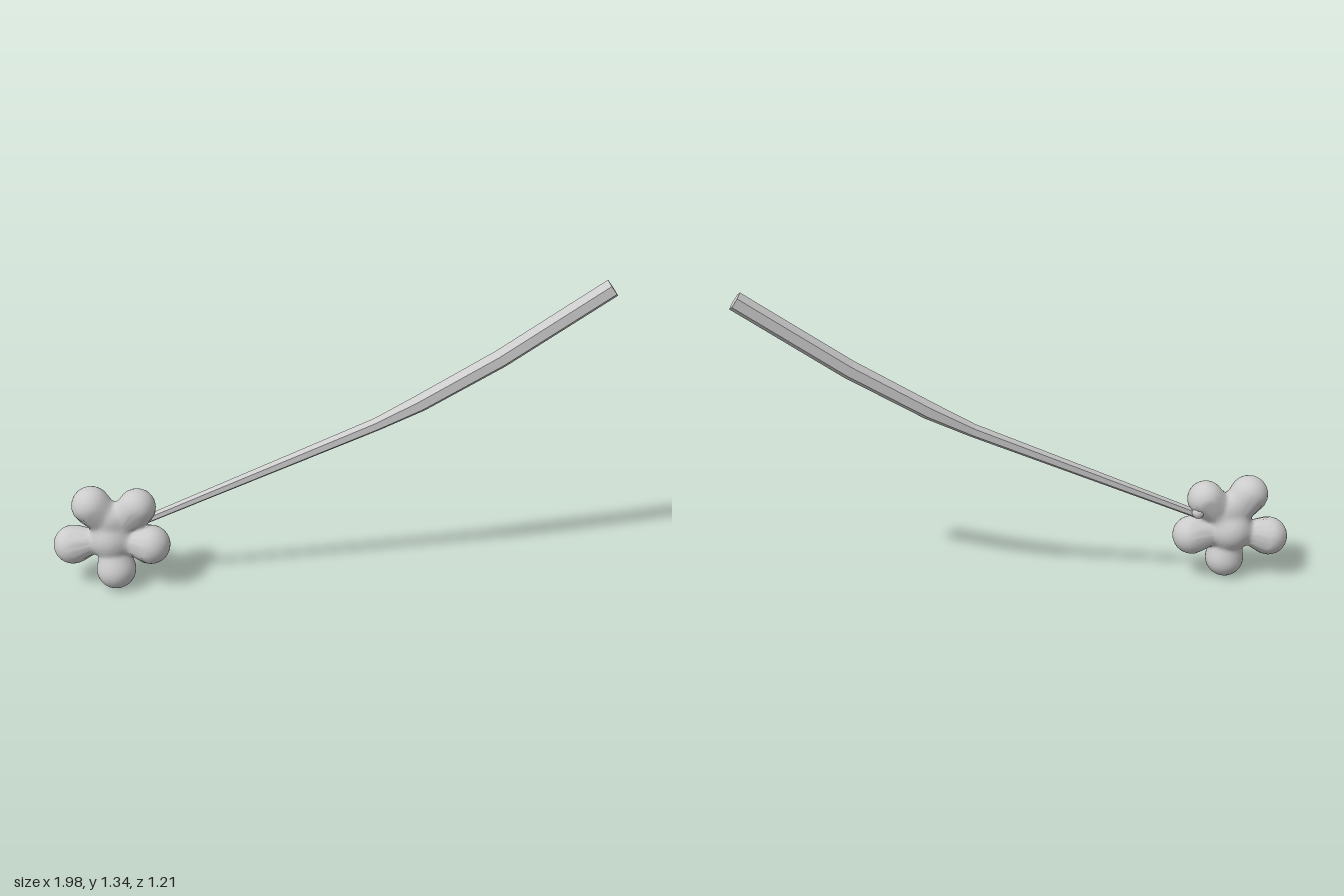
import * as THREE from 'three';
import { mergeVertices } from 'three/addons/utils/BufferGeometryUtils.js';

const V = (x, y, z) => new THREE.Vector3(x, y, z);

// Distance to a rounded cone running from a to b
function coneDistance(p, a, b, ra, rb) {
  const ab = b.clone().sub(a);
  const t = THREE.MathUtils.clamp(p.clone().sub(a).dot(ab) / ab.lengthSq(), 0, 1);
  return p.distanceTo(a.clone().addScaledVector(ab, t)) - (ra + (rb - ra) * t);
}

// Soft blossom: a core and five rounded petals melted into one skin
function makeBlossom(material) {
  const core = V(-0.775, 0.225, -0.435);
  const petals = [
    [V(-0.845, 0.38, -0.465), 0.079],
    [V(-0.68, 0.372, -0.372), 0.076],
    [V(-0.642, 0.205, -0.335), 0.08],
    [V(-0.772, 0.09, -0.408), 0.08],
    [V(-0.912, 0.19, -0.525), 0.08],
  ];
  const blend = 0.012;
  const field = (p) => {
    let sum = Math.exp(-(p.distanceTo(core) - 0.082) / blend);
    for (const [tip, r] of petals) {
      sum += Math.exp(-(p.distanceTo(tip) - r) / blend);
      sum += Math.exp(-coneDistance(p, core, tip, 0.045, 0.05) / blend);
    }
    // web between the two upper petals
    sum += Math.exp(-(p.distanceTo(V(-0.772, 0.325, -0.425)) - 0.06) / blend);
    return -blend * Math.log(sum);
  };

  let geometry = new THREE.IcosahedronGeometry(1, 16);
  geometry.deleteAttribute('normal');
  geometry.deleteAttribute('uv');
  geometry = mergeVertices(geometry, 1e-4);
  const pos = geometry.attributes.position;
  const dir = V(0, 0, 0), p = V(0, 0, 0);
  for (let i = 0; i < pos.count; i++) {
    dir.fromBufferAttribute(pos, i).normalize();
    // step inwards until the skin is reached
    let r = 0.36;
    for (let k = 0; k < 80; k++) {
      const d = field(p.copy(core).addScaledVector(dir, r));
      if (d < 0.0005) break;
      r -= d;
    }
    p.copy(core).addScaledVector(dir, r);
    pos.setXYZ(i, p.x, p.y, p.z);
  }
  geometry.computeVertexNormals();
  const blossom = new THREE.Mesh(geometry, material);
  blossom.name = 'blossom';
  return blossom;
}

// Six-sided stem, thicker towards its cut end, with a gentle bend
function makeStem(material) {
  const rings = [
    [V(-0.65, 0.305, -0.37), 0.018],
    [V(0.18, 0.742, 0.111), 0.028],
    [V(0.33, 0.835, 0.198), 0.037],
    [V(0.6, 1.025, 0.354), 0.039],
    [V(0.965, 1.32, 0.565), 0.039],
  ];
  const last = rings.length - 1;
  const geometry = new THREE.CylinderGeometry(1, 1, 1, 6, last);
  const pos = geometry.attributes.position;
  const side = V(0.5, 0, -0.866);
  for (let i = 0; i < pos.count; i++) {
    const row = Math.round((pos.getY(i) + 0.5) * last);
    const [centre, radius] = rings[row];
    const along = rings[Math.min(row + 1, last)][0].clone()
      .sub(rings[Math.max(row - 1, 0)][0]).normalize();
    const u = side.clone().addScaledVector(along, -side.dot(along)).normalize();
    const w = u.clone().cross(along);
    const p = centre.clone()
      .addScaledVector(u, pos.getX(i) * radius)
      .addScaledVector(w, pos.getZ(i) * radius);
    pos.setXYZ(i, p.x, p.y, p.z);
  }
  geometry.computeVertexNormals();
  const stem = new THREE.Mesh(geometry, material);
  stem.name = 'stem';
  return stem;
}

export function createModel() {
  const group = new THREE.Group();
  group.name = 'flower';
  const smooth = new THREE.MeshStandardMaterial({ color: 0xcccccc });
  const faceted = new THREE.MeshStandardMaterial({ color: 0xcccccc, flatShading: true });
  group.add(makeBlossom(smooth), makeStem(faceted));

  // Small knot where the stem meets the blossom
  const knot = new THREE.Mesh(new THREE.IcosahedronGeometry(0.027, 1), smooth);
  knot.name = 'stemKnot';
  knot.position.set(-0.63, 0.325, -0.38);
  group.add(knot);
  return group;
}
